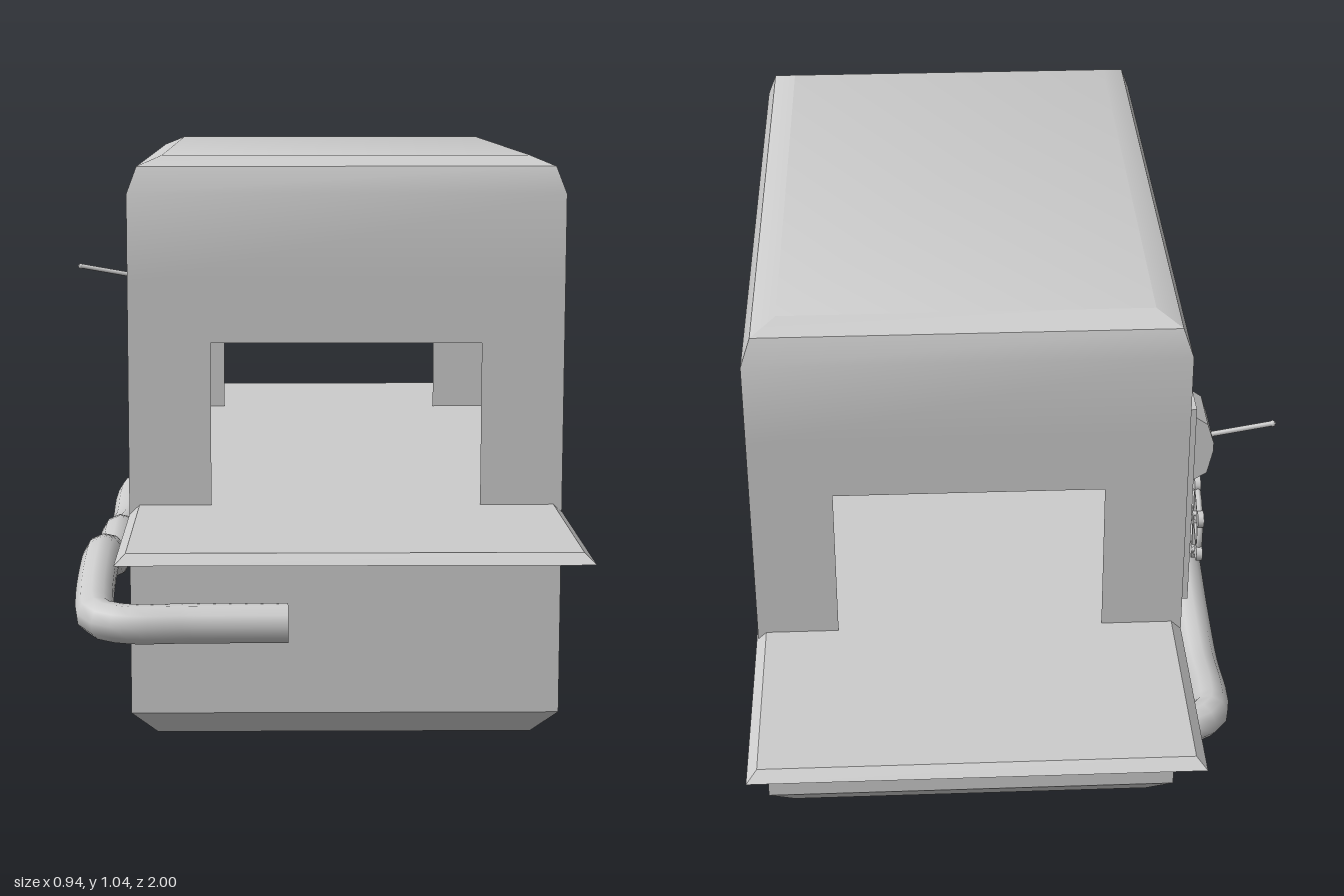
import * as THREE from 'three';
import { toCreasedNormals } from 'three/addons/utils/BufferGeometryUtils.js';

// Overall body limits
const X0 = -0.3, X1 = 0.465, Z0 = -0.6, Z1 = 0.58;

// Stack of rectangles [y, inset]; skip(side, level) leaves a side panel out
function loft(x0, x1, z0, z1, levels, { top = false, bottom = false, skip = () => false } = {}) {
  const rings = levels.map(([y, i]) => [
    [x0 + i, y, z1 - i], [x1 - i, y, z1 - i], [x1 - i, y, z0 + i], [x0 + i, y, z0 + i],
  ]);
  const pos = [];
  const quad = (a, b, c, d) => pos.push(...a, ...b, ...c, ...a, ...c, ...d);
  for (let l = 0; l < rings.length - 1; l++) {
    for (let s = 0; s < 4; s++) {
      if (skip(s, l)) continue;
      const n = (s + 1) % 4;
      quad(rings[l][s], rings[l][n], rings[l + 1][n], rings[l + 1][s]);
    }
  }
  if (top) quad(...rings[rings.length - 1]);
  if (bottom) quad(...[...rings[0]].reverse());
  const geo = new THREE.BufferGeometry();
  geo.setAttribute('position', new THREE.Float32BufferAttribute(pos, 3));
  return toCreasedNormals(geo, 0.5);
}

function rectangle(a0, a1, b0, b1, Type = THREE.Shape) {
  const r = new Type();
  r.moveTo(a0, b0);
  r.lineTo(a1, b0);
  r.lineTo(a1, b1);
  r.lineTo(a0, b1);
  r.closePath();
  return r;
}

export function createModel() {
  const group = new THREE.Group();
  const grey = new THREE.MeshStandardMaterial({ color: 0xcccccc, side: THREE.DoubleSide });
  grey.name = 'grey';

  const add = (name, geo, x = 0, y = 0, z = 0, parent = group) => {
    const m = new THREE.Mesh(geo, grey);
    m.name = name;
    m.position.set(x, y, z);
    parent.add(m);
    return m;
  };

  // Base with chamfered foot
  add('base', loft(X0, X1, Z0, Z1, [[0, 0.045], [0.048, 0], [0.42, 0]], { bottom: true }));

  // Hood with rounded top edges; the window wall replaces its left-hand strip
  add('hood', loft(X0, X1, Z0, Z1, [[0.82, 0], [0.975, 0], [1.022, 0.017], [1.04, 0.06]],
    { top: true, skip: (s, l) => s === 3 && l === 0 }));

  // End walls with the tunnel openings
  const endShape = rectangle(X0, X1, 0.42, 0.82);
  endShape.holes.push(rectangle(-0.155, 0.32, 0.421, 0.715, THREE.Path));
  add('frontWall', new THREE.ShapeGeometry(endShape), 0, 0, Z1);
  add('backWall', new THREE.ShapeGeometry(endShape), 0, 0, Z0).geometry.scale(1, 1, 1);

  // Plain side wall
  add('plainSideWall', new THREE.PlaneGeometry(Z1 - Z0, 0.4), X1, 0.62, (Z0 + Z1) / 2).rotation.y = Math.PI / 2;

  // Side wall with the recessed window
  const sideShape = rectangle(Z0, Z1, 0.42, 0.975);
  sideShape.holes.push(rectangle(-0.35, 0.56, 0.435, 0.955, THREE.Path));
  add('windowWall', new THREE.ShapeGeometry(sideShape), X0).rotation.y = -Math.PI / 2;

  const frameShape = rectangle(-0.36, 0.57, 0.43, 0.965);
  frameShape.holes.push(rectangle(-0.35, 0.56, 0.435, 0.955, THREE.Path));
  const frame = add('windowFrame',
    new THREE.ExtrudeGeometry(frameShape, { depth: 0.042, bevelEnabled: false }), X0 + 0.043);
  frame.rotation.y = -Math.PI / 2;
  add('windowPane', new THREE.BoxGeometry(0.006, 0.535, 0.93), X0 + 0.044, 0.6975, 0.105);
  add('windowSill', new THREE.BoxGeometry(0.024, 0.025, 0.91), X0 + 0.03, 0.4475, 0.105);

  // Conveyor tray running through the tunnel
  add('tray', loft(X0, X1 + 0.003, -1, 1, [[0.41, 0], [0.427, 0.018]], { top: true, bottom: true }));

  // Wavy pipe wrapped round one side
  const pipePoints = [
    [-0.02, 0.23, 0.65], [-0.18, 0.23, 0.65], [-0.31, 0.23, 0.65], [-0.355, 0.235, 0.625],
    [-0.365, 0.25, 0.56], [-0.365, 0.29, 0.4], [-0.365, 0.27, 0.24], [-0.365, 0.22, 0.08],
    [-0.365, 0.235, -0.1], [-0.365, 0.21, -0.26], [-0.365, 0.197, -0.42], [-0.365, 0.22, -0.56],
    [-0.355, 0.23, -0.625], [-0.31, 0.23, -0.655], [-0.18, 0.23, -0.655], [-0.02, 0.23, -0.655],
  ].map((p) => new THREE.Vector3(...p));
  add('pipe', new THREE.TubeGeometry(new THREE.CatmullRomCurve3(pipePoints), 72, 0.035, 10));

  // Control panel
  const panel = new THREE.Group();
  panel.name = 'controlPanel';
  group.add(panel);
  const pz = -0.465;
  add('panelPlate', new THREE.BoxGeometry(0.015, 0.4, 0.195), X0 - 0.0075, 0.65, pz, panel);

  // Lever housing and lever
  const housing = new THREE.Shape([
    [-0.312, 0.67], [-0.345, 0.69], [-0.355, 0.735], [-0.355, 0.752], [-0.343, 0.79], [-0.312, 0.812],
  ].map((p) => new THREE.Vector2(...p)));
  add('leverHousing', new THREE.ExtrudeGeometry(housing, { depth: 0.1, bevelEnabled: false }),
    0, 0, pz - 0.05, panel);
  const leverPath = new THREE.LineCurve3(
    new THREE.Vector3(-0.345, 0.738, pz), new THREE.Vector3(-0.47, 0.76, pz));
  add('lever', new THREE.TubeGeometry(leverPath, 1, 0.005, 8), 0, 0, 0, panel);
  add('leverTip', new THREE.SphereGeometry(0.006, 8, 6), -0.467, 0.759, pz, panel);

  // Hand wheel with spokes and grips
  const wheel = new THREE.Group();
  wheel.name = 'handWheel';
  wheel.position.set(-0.336, 0.563, pz);
  wheel.rotation.y = -Math.PI / 2;
  panel.add(wheel);
  add('rim', new THREE.TorusGeometry(0.066, 0.006, 6, 24), 0, 0, 0, wheel);
  add('hub', new THREE.CylinderGeometry(0.016, 0.016, 0.012, 12).rotateX(Math.PI / 2), 0, 0, 0, wheel);
  add('axle', new THREE.CylinderGeometry(0.007, 0.007, 0.026, 8).rotateX(Math.PI / 2), 0, 0, -0.012, wheel);
  for (let i = 0; i < 6; i++) {
    const a = (i / 6) * Math.PI * 2 + Math.PI / 6;
    const c = Math.cos(a), s = Math.sin(a);
    add('spoke', new THREE.BoxGeometry(0.056, 0.008, 0.008), 0.038 * c, 0.038 * s, 0, wheel).rotation.z = a;
    add('grip', new THREE.CylinderGeometry(0.015, 0.015, 0.011, 10).rotateX(Math.PI / 2),
      0.072 * c, 0.072 * s, 0, wheel);
  }
  return group;
}
